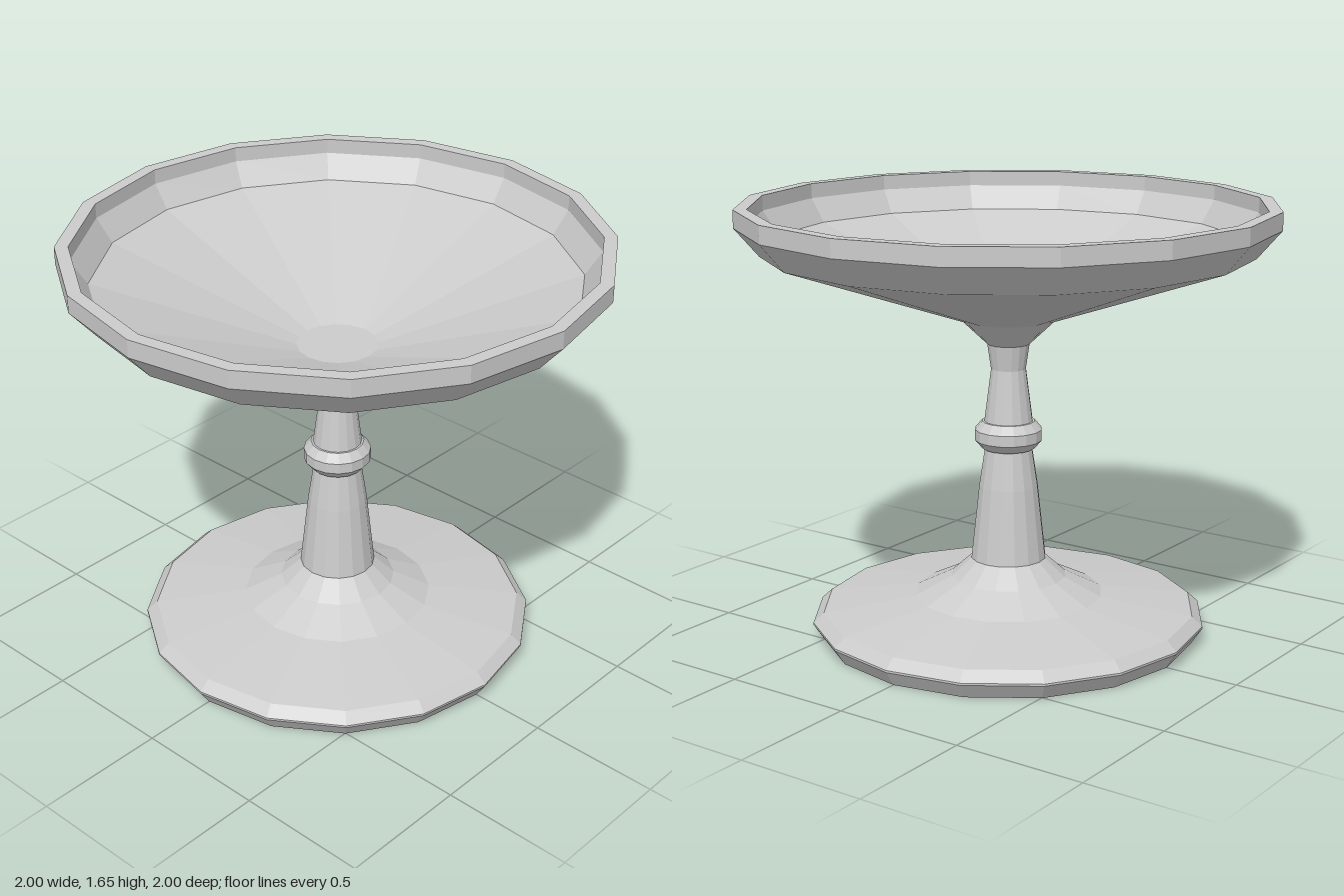
import * as THREE from 'three';

const SIDES = 16;

// Faceted turned part from [radius, height] pairs, listed so that faces point outward
function turned(name, profile, material) {
  const points = profile.map(([r, y]) => new THREE.Vector2(r, y));
  const mesh = new THREE.Mesh(new THREE.LatheGeometry(points, SIDES), material);
  mesh.name = name;
  return mesh;
}

export function createModel() {
  const group = new THREE.Group();
  group.name = 'pedestalBowl';
  const material = new THREE.MeshStandardMaterial({
    color: 0xcccccc, flatShading: true, side: THREE.DoubleSide,
  });

  // Wide foot with bevelled rim, flaring up to the stem
  group.add(turned('foot', [
    [0, 0], [0.71, 0], [0.75, 0.06], [0.75, 0.068], [0.71, 0.105],
    [0.36, 0.155], [0.22, 0.225], [0.143, 0.295],
  ], material));

  // Tapering lower stem
  group.add(turned('lowerStem', [[0.143, 0.295], [0.112, 0.58], [0.09, 0.725]], material));

  // Collar ring around the stem
  group.add(turned('collar', [
    [0.09, 0.725], [0.1, 0.725], [0.127, 0.757], [0.127, 0.798], [0.1, 0.83], [0.09, 0.83],
  ], material));

  // Narrow waisted upper stem
  group.add(turned('upperStem', [[0.092, 0.83], [0.066, 1.03], [0.08, 1.125]], material));

  // Shallow bowl: outer shell, flat rim, then inner wall down to a flat centre
  group.add(turned('bowl', [
    [0.08, 1.125], [0.18, 1.22], [0.91, 1.475], [1, 1.58], [1, 1.647],
    [0.95, 1.647], [0.95, 1.59], [0.89, 1.5], [0.15, 1.24], [0, 1.24],
  ], material));

  return group;
}
